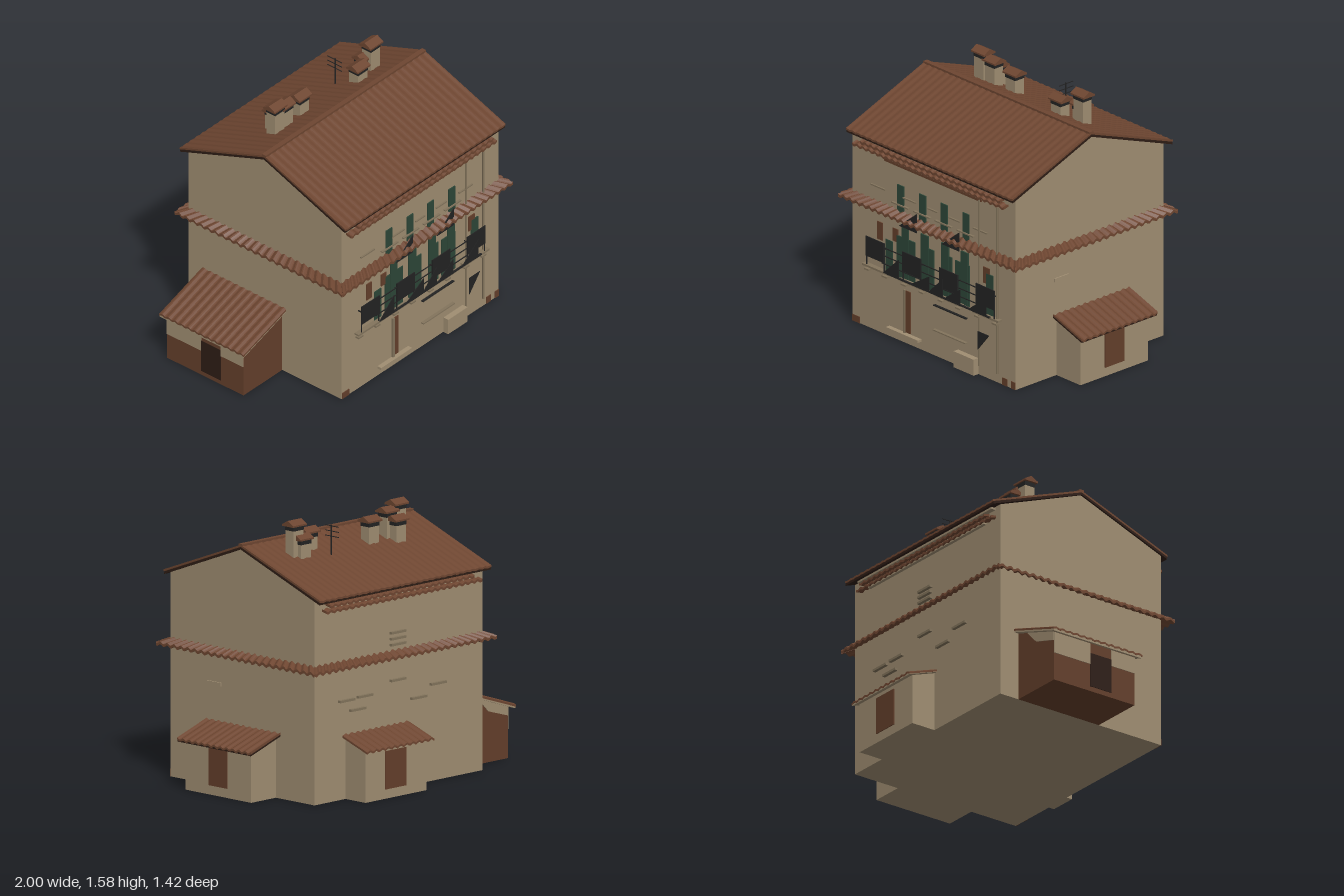
import * as THREE from 'three';

const mat = (name, color, extra = {}) => Object.assign(new THREE.MeshStandardMaterial({ color, ...extra }), { name });

export function createModel() {
  const house = new THREE.Group();
  house.name = 'house';
  const plaster = mat('plaster', 0xa08e72);
  const tile = mat('roof tile', 0x6e4631);
  const brick = mat('brick brown', 0x643f2b);
  const edge = mat('dark roof edge', 0x2e1d15);
  const green = mat('shutter green', 0x2d4738);
  const iron = mat('black iron', 0x232323, { side: THREE.DoubleSide });
  const stone = mat('grey sill', 0x83745c);

  const add = (name, geo, material, x = 0, y = 0, z = 0, ry = 0) => {
    const m = new THREE.Mesh(geo, material);
    m.name = name;
    m.position.set(x, y, z);
    m.rotation.y = ry;
    house.add(m);
    return m;
  };
  // box given by its limits
  const box = (name, material, x0, x1, y0, y1, z0, z1) =>
    add(name, new THREE.BoxGeometry(x1 - x0, y1 - y0, z1 - z0), material, (x0 + x1) / 2, (y0 + y1) / 2, (z0 + z1) / 2);
  const prism = (pts, depth) => new THREE.ExtrudeGeometry(
    new THREE.Shape(pts.map(p => new THREE.Vector2(...p))), { depth, bevelEnabled: false });
  // profile in (z, y), extruded from x0 to x1
  const prismX = (name, material, pts, x0, x1) =>
    add(name, prism(pts, x1 - x0).rotateY(-Math.PI / 2), material, x1);
  // sloping slab: top edge at the origin, falling towards local +z, with wavy tiles
  const slab = (width, run, drop, thick, amp = 0, flare = 0, period = 0.05) => {
    const g = new THREE.BoxGeometry(width, thick, run, amp ? Math.round(width / period) * 6 : 1, 1, 1);
    const p = g.attributes.position;
    for (let i = 0; i < p.count; i++) {
      const f = p.getZ(i) / run + 0.5, x = p.getX(i);
      p.setXYZ(i, x * (1 + 2 * flare * f / width),
        p.getY(i) - thick / 2 - drop * f + amp * (Math.cos(2 * Math.PI * x / period) - 1), f * run);
    }
    const flat = g.toNonIndexed();
    flat.computeVertexNormals();
    return flat;
  };

  // main body with gable ends
  const X0 = -0.625, X1 = 0.755, Z0 = -0.51, Z1 = 0.65, CX = 0.065, CZ = 0.07;
  prismX('houseWalls', plaster, [[Z0, 0], [Z1, 0], [Z1, 1.2], [CZ, 1.42], [Z0, 1.2]], X0, X1);

  // main roof
  for (const [ry, run] of [[0, 0.62], [Math.PI, 0.64]]) {
    add('roofSlope', slab(1.405, run, 0.235, 0.012, 0.002), tile, 0.0675, 1.447, CZ, ry);
    add('roofEdge', slab(1.407, run - 0.004, 0.235, 0.014), edge, 0.0675, 1.434, CZ, ry);
  }
  box('ridgeTiles', tile, -0.635, 0.77, 1.437, 1.452, CZ - 0.015, CZ + 0.015);

  // tiled band around the middle
  const W = X1 - X0, D = Z1 - Z0;
  for (const [w, x, z, ry] of [[W, CX, Z1, 0], [W, CX, Z0, Math.PI], [D, X1, CZ, Math.PI / 2], [D, X0, CZ, -Math.PI / 2]])
    add('middleTileBand', slab(w, 0.058, 0.025, 0.016, 0.007, 0.058), tile, x, 0.822, z, ry);

  // cornice tile rows below the eaves
  for (const [x0, x1, y] of [[-0.52, 0.665, 1.178], [-0.585, 0.695, 1.147]])
    for (const [z, ry] of [[Z1, 0], [Z0, Math.PI]])
      add('corniceTiles', slab(x1 - x0, 0.038, 0.008, 0.014, 0.005), tile, (x0 + x1) / 2, y, z, ry);
  for (const [z0, z1] of [[Z1, 0.68], [-0.54, Z0]]) {
    box('corniceMoulding', plaster, -0.58, 0.69, 1.18, 1.192, z0, z1);
    box('corniceMoulding', plaster, -0.5, 0.6, 1.115, 1.125, z0 + 0.005, z1 - 0.005);
  }
  box('paintedFrieze', brick, -0.35, 0.47, 1.088, 1.107, Z1, 0.658);

  // left-hand brick annex (-x)
  add('brickAnnex', prism([[-0.965, 0], [X0, 0], [X0, 0.43], [-0.965, 0.305]], 0.58), brick, 0, 0, -0.38);
  add('brickAnnexRoof', slab(0.64, 0.375, 0.125, 0.012, 0.004), tile, X0, 0.445, -0.09, -Math.PI / 2);
  add('brickAnnexRoofEdge', slab(0.636, 0.373, 0.125, 0.016), plaster, X0, 0.433, -0.09, -Math.PI / 2);
  box('annexPlasterPatch', plaster, -0.969, -0.964, 0.17, 0.3, -0.38, -0.12);
  box('annexPlasterPatch', plaster, -0.969, -0.964, 0.2, 0.3, 0.03, 0.2);
  add('annexPlasterPatch', prism([[-0.965, 0.25], [-0.8, 0.3], [-0.7, 0.4], [-0.965, 0.305]], 0.005), plaster, 0, 0, -0.385);
  box('brickAnnexDoor', edge, -0.969, -0.964, 0.03, 0.24, -0.12, 0.03);

  // right-hand annex (+x)
  add('sideAnnex', prism([[X1, 0], [0.958, 0], [0.958, 0.31], [X1, 0.37]], 0.53), plaster, 0, 0, -0.2);
  add('sideAnnexRoof', slab(0.595, 0.243, 0.08, 0.012, 0.005), tile, X1, 0.388, 0.06, Math.PI / 2);
  add('sideAnnexRoofEdge', slab(0.591, 0.241, 0.08, 0.01), edge, X1, 0.374, 0.06, Math.PI / 2);
  box('sideAnnexDoor', brick, 0.957, 0.963, 0.055, 0.28, -0.01, 0.14);
  box('sideAnnexLintel', stone, 0.957, 0.967, 0.283, 0.291, -0.02, 0.05);
  box('sideWallSill', plaster, X1, 0.763, 0.588, 0.61, 0.24, 0.35);

  // back annex
  prismX('backAnnex', plaster, [[Z0, 0], [Z0, 0.365], [-0.67, 0.31], [-0.67, 0]], 0, 0.5);
  add('backAnnexRoof', slab(0.55, 0.2, 0.07, 0.012, 0.005), tile, 0.25, 0.385, Z0, Math.PI);
  add('backAnnexRoofEdge', slab(0.546, 0.198, 0.07, 0.01), plaster, 0.25, 0.371, Z0, Math.PI);
  box('backAnnexDoor', brick, 0.17, 0.34, 0.055, 0.28, -0.675, -0.669);

  // sills on the back wall
  for (const [x, y] of [[0.08, 0.92], [0.08, 0.885], [0.08, 0.85], [0.5, 0.58], [0.35, 0.585], [0.41, 0.515],
    [0.08, 0.64], [-0.09, 0.51], [-0.25, 0.57]])
    box('backSill', stone, x - 0.06, x + 0.06, y - 0.007, y + 0.007, Z0 - 0.02, Z0);

  // chimneys: x, z and top of each
  for (const [x, z, top] of [[-0.333, -0.105, 1.582], [-0.275, -0.165, 1.505], [-0.25, -0.112, 1.55], [-0.09, -0.127, 1.52],
    [0.355, -0.07, 1.515], [0.472, -0.13, 1.5], [0.507, -0.105, 1.582]]) {
    box('chimneyStack', plaster, x - 0.04, x + 0.04, 1.3, top - 0.06, z - 0.034, z + 0.034);
    box('chimneyVent', iron, x - 0.042, x + 0.042, top - 0.06, top - 0.028, z - 0.036, z + 0.036);
    prismX('chimneyCap', tile, [[z - 0.045, top - 0.035], [z + 0.045, top - 0.035], [z + 0.045, top - 0.025],
      [z, top], [z - 0.045, top - 0.025]], x - 0.056, x + 0.056);
  }

  // aerial
  box('aerialMast', iron, 0.278, 0.284, 1.32, 1.53, -0.185, -0.179);
  for (const y of [1.46, 1.49, 1.52]) box('aerialRod', iron, 0.279, 0.283, y, y + 0.004, -0.24, -0.13);

  // upper floor shutters and sills
  for (const x of [-0.24, -0.055, 0.127, 0.312]) {
    box('upperShutter', green, x, x + 0.055, 0.75, 0.975, Z1, 0.657);
    box('upperSill', stone, x - 0.04, x + 0.1, 0.848, 0.856, Z1, 0.665);
  }
  for (const [x0, x1] of [[-0.46, -0.34], [-0.19, -0.08], [0.02, 0.1], [0.2, 0.29], [0.4, 0.52]])
    box('wallMoulding', stone, x0, x1, 0.902, 0.91, Z1, 0.66);

  // first floor shutters: x0, x1, top
  for (const [x0, x1, top] of [[-0.2, -0.145, 0.73], [-0.245, -0.09, 0.655], [-0.04, 0.025, 0.73], [-0.02, 0.07, 0.655],
    [0.135, 0.195, 0.73], [0.16, 0.22, 0.66], [0.3, 0.36, 0.73], [0.25, 0.37, 0.655], [0.51, 0.57, 0.655], [-0.34, -0.28, 0.6]])
    box('balconyShutter', green, x0, x1, 0.4, top, Z1, 0.655 + (top - 0.6) * 0.03);
  for (const [x0, x1, y0] of [[-0.41, -0.365, 0.58], [-0.28, -0.235, 0.61], [0.485, 0.54, 0.59]])
    box('brownShutter', brick, x0, x1, y0, 0.69, Z1, 0.656);

  // balcony rails and slabs
  for (const x of [-0.48, -0.17, 0.14, 0.45]) {
    box('balconyPanel', iron, x, x + 0.155, 0.46, 0.583, 0.676, 0.682);
    box('balconySlab', stone, x - 0.03, x + 0.19, 0.392, 0.404, Z1, 0.682);
    for (const dx of [0, 0.15]) {
      box('balconyPost', iron, x + dx, x + dx + 0.005, 0.4, 0.58, 0.672, 0.678);
      box('balconyBracket', stone, x + dx - 0.02, x + dx + 0.02, 0.365, 0.375, Z1, 0.675);
      box('balconySideRail', iron, x + dx, x + dx + 0.005, 0.54, 0.548, Z1, 0.68);
    }
  }
  for (const y of [0.45, 0.5, 0.55]) box('balconyRail', iron, -0.35, 0.46, y, y + 0.005, 0.672, 0.677);
  box('balconyFootRail', iron, -0.3, 0.57, 0.398, 0.406, 0.672, 0.684);
  // slanting iron guards
  for (const [x0, x1, y0, y1, z] of [[-0.19, -0.04, 0.74, 0.86, 0.685], [0.17, 0.32, 0.74, 0.86, 0.685],
    [-0.33, -0.2, 0.4, 0.52, 0.68], [-0.1, 0.06, 0.4, 0.5, 0.679], [0.05, 0.175, 0.4, 0.52, 0.68],
    [0.18, 0.32, 0.4, 0.5, 0.679], [0.39, 0.54, 0.4, 0.52, 0.68]])
    add('ironGuard', prism([[x0, y0], [x1, y0], [x1, y1]], 0.004), iron, 0, 0, z);
  add('hangingSign', prism([[0.465, 0.17], [0.56, 0.285], [0.465, 0.285]], 0.004), iron, 0, 0, 0.675);

  // ground floor front
  box('frontDoor', brick, -0.17, -0.13, 0.07, 0.33, Z1, 0.656);
  box('frontDoorFrame', stone, -0.185, -0.17, 0.06, 0.335, Z1, 0.662);
  box('frontStep', plaster, -0.31, -0.04, 0.05, 0.065, Z1, 0.68);
  box('stoneBench', plaster, 0.27, 0.44, 0, 0.1, Z1, 0.687);
  box('shopRail', iron, 0.075, 0.35, 0.316, 0.323, Z1, 0.665);
  box('shopSill', stone, 0.075, 0.35, 0.163, 0.17, Z1, 0.67);
  for (const [x0, x1, h] of [[-0.622, -0.56, 0.04], [0.645, 0.685, 0.045], [0.72, 0.755, 0.045]])
    box('exposedBrick', brick, x0, x1, 0, h, Z1, 0.654);

  // drainpipes
  for (const [x, top] of [[0.457, 1.12], [0.61, 1.1]])
    add('drainpipe', new THREE.CylinderGeometry(0.007, 0.007, top - 0.06, 6), stone, x, (top + 0.06) / 2, 0.66);
  return house;
}
